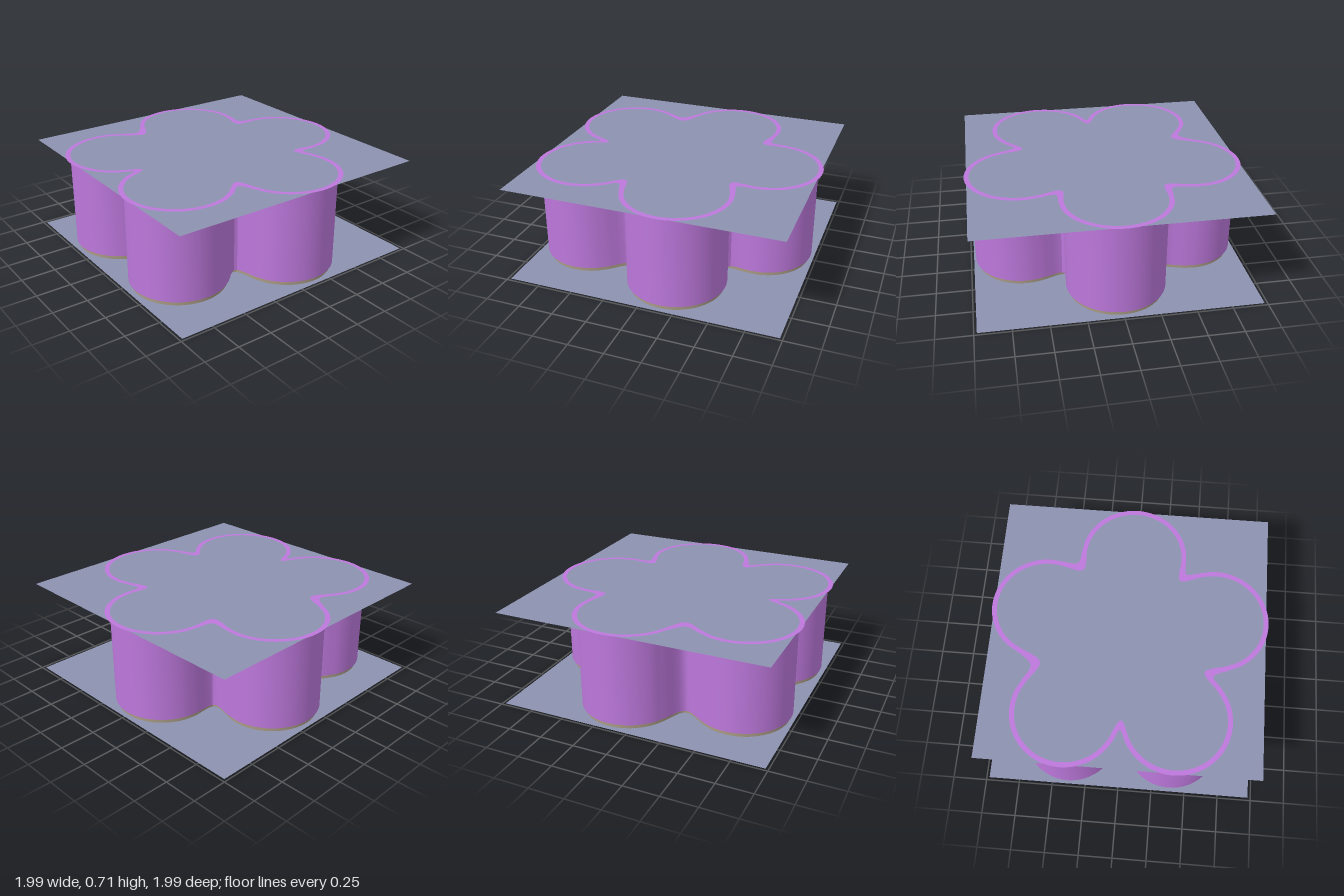
import * as THREE from 'three';
import { toCreasedNormals } from 'three/addons/utils/BufferGeometryUtils.js';

const PURPLE = 0xbd78dc, BEIGE = 0xa89a84, SLATE = 0x8c92b0;
const HEIGHT = 0.71, BASE = 0.035, RADIUS = 0.352;

// petal centres, counter-clockwise, each followed by the notch to the next petal
const petals = [
  { c: [-0.005, 0.61], notch: [-0.37, 0.47] },
  { c: [-0.61, 0.15], notch: [-0.6, -0.265] },
  { c: [-0.385, -0.61], notch: [0, -0.64] },
  { c: [0.38, -0.605], notch: [0.555, -0.25] },
  { c: [0.61, 0.145], notch: [0.345, 0.44] },
];

// closed flower outline, moved outwards by offset
function outline(offset = 0) {
  const r = RADIUS + offset, trim = 0.44, steps = 12, pts = [];
  const notches = petals.map(({ notch: [x, y] }) => {
    const k = 1 + 2 * offset / Math.hypot(x, y);
    return [x * k, y * k];
  });
  petals.forEach(({ c }, i) => {
    const from = petals[(i + petals.length - 1) % petals.length].notch, to = petals[i].notch;
    const a = Math.atan2(from[1] - c[1], from[0] - c[0]) + trim;
    let b = Math.atan2(to[1] - c[1], to[0] - c[0]) - trim;
    while (b < a) b += Math.PI * 2;
    for (let s = 0; s <= steps; s++) {
      const t = a + (b - a) * s / steps;
      pts.push(new THREE.Vector3(c[0] + r * Math.cos(t), c[1] + r * Math.sin(t), 0));
    }
    pts.push(new THREE.Vector3(...notches[i], 0));
  });
  return new THREE.CatmullRomCurve3(pts, true, 'centripetal').getPoints(320)
    .slice(0, -1).map((p) => new THREE.Vector2(p.x, p.y));
}

function createModel() {
  const model = new THREE.Group();
  const add = (name, geometry, color, y) => {
    const mesh = new THREE.Mesh(geometry,
      new THREE.MeshStandardMaterial({ color, side: THREE.DoubleSide }));
    mesh.name = name;
    mesh.position.y = y;
    model.add(mesh);
  };
  const slab = (points, depth) => toCreasedNormals(
    new THREE.ExtrudeGeometry(new THREE.Shape(points), { depth, bevelEnabled: false })
      .rotateX(-Math.PI / 2), 0.7);
  const sheet = () => new THREE.PlaneGeometry(1.96, 1.96).rotateX(-Math.PI / 2);

  // flower body on its slightly smaller base
  add('flowerBase', slab(outline(-0.016), BASE - 0.002), BEIGE, 0.002);
  add('flowerBody', slab(outline(), HEIGHT - 0.005 - BASE), PURPLE, BASE);

  // square sheets below and above
  add('bottomSheet', sheet(), SLATE, 0);
  add('topSheet', sheet(), SLATE, HEIGHT - 0.003);

  // flat rim around the top outline
  const rim = new THREE.Shape(outline(0.035));
  rim.holes.push(new THREE.Path(outline(0)));
  add('topRim', new THREE.ShapeGeometry(rim).rotateX(-Math.PI / 2), PURPLE, HEIGHT);

  return model;
}

export { createModel };
